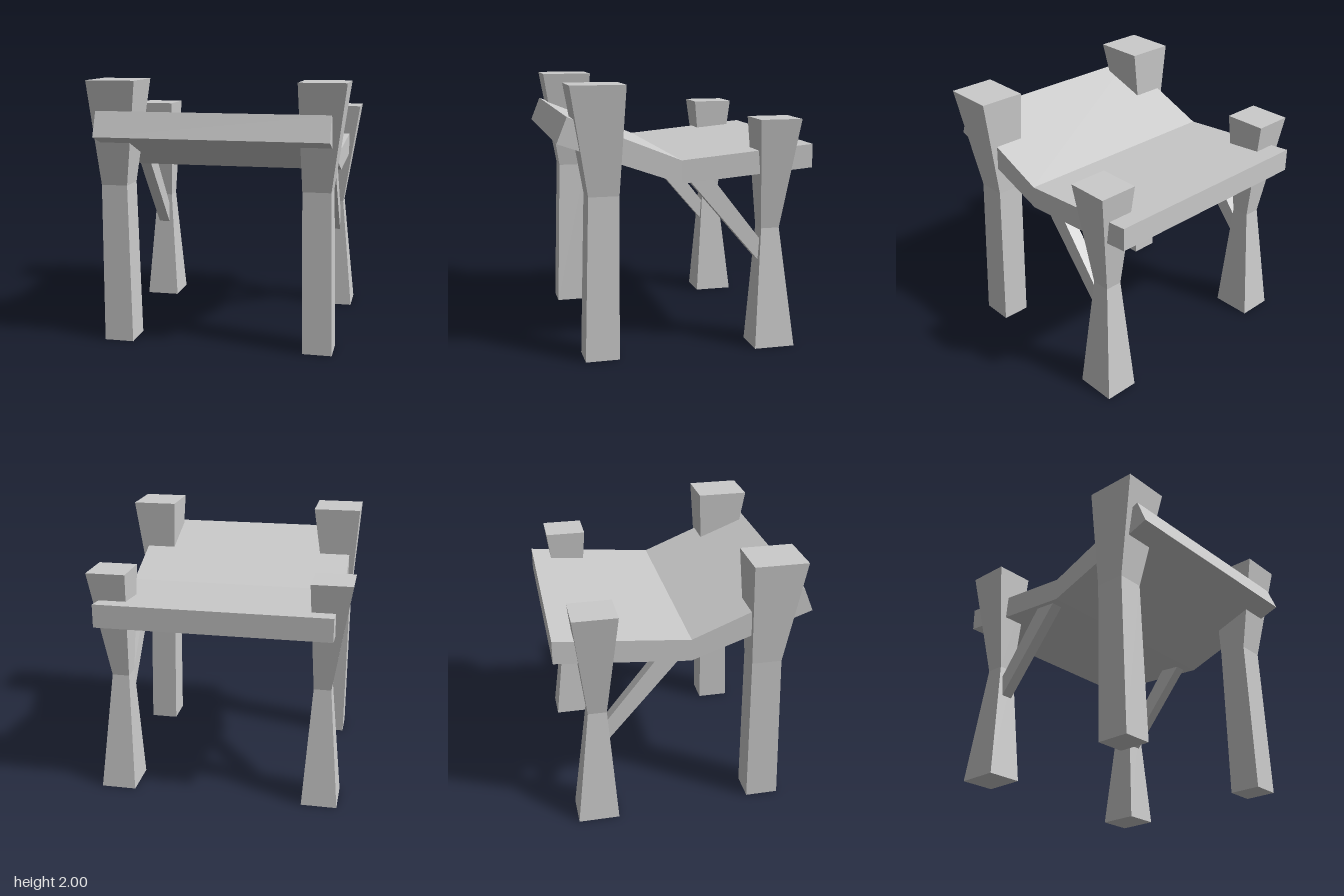
import * as THREE from 'three';

const material = new THREE.MeshStandardMaterial({ color: 0xcccccc, flatShading: true, side: THREE.DoubleSide });

// Loft through rectangles [y, x0, x1, z0, z1], listed from bottom to top
function loft(name, sections) {
  const pos = [], index = [];
  for (const [y, x0, x1, z0, z1] of sections) {
    pos.push(x0, y, z1, x1, y, z1, x1, y, z0, x0, y, z0);
  }
  for (let s = 0; s < sections.length - 1; s++) {
    for (let i = 0; i < 4; i++) {
      const a = s * 4 + i, b = s * 4 + (i + 1) % 4;
      index.push(a, b, b + 4, a, b + 4, a + 4);
    }
  }
  const t = (sections.length - 1) * 4;
  index.push(0, 2, 1, 0, 3, 2, t, t + 1, t + 2, t, t + 2, t + 3);
  const g = new THREE.BufferGeometry();
  g.setAttribute('position', new THREE.Float32BufferAttribute(pos, 3));
  g.setIndex(index);
  const flat = g.toNonIndexed();
  flat.computeVertexNormals();
  const mesh = new THREE.Mesh(flat, material);
  mesh.name = name;
  return mesh;
}

// Side profile of [z, y] points extruded across x
function extrudeAcross(name, profile, x0, x1) {
  const shape = new THREE.Shape(profile.map(([z, y]) => new THREE.Vector2(-z, y)));
  const g = new THREE.ExtrudeGeometry(shape, { depth: x1 - x0, bevelEnabled: false });
  g.rotateY(Math.PI / 2);
  g.translate(x0, 0, 0);
  const mesh = new THREE.Mesh(g, material);
  mesh.name = name;
  return mesh;
}

export function createModel() {
  const model = new THREE.Group();
  model.name = 'bentTopTable';

  // Front posts: straight shaft with a flared head
  model.add(loft('frontRightPost', [
    [0, -0.865, -0.64, 0.52, 0.77],
    [1.21, -0.875, -0.675, 0.505, 0.73],
    [2, -0.93, -0.56, 0.47, 0.865],
  ]));
  model.add(loft('frontLeftPost', [
    [0, 0.67, 0.89, 0.52, 0.77],
    [1.21, 0.65, 0.86, 0.505, 0.73],
    [2, 0.625, 0.97, 0.47, 0.865],
  ]));

  // Back posts: pinched at the waist
  model.add(loft('backRightPost', [
    [0, -0.92, -0.65, -0.825, -0.515],
    [0.91, -0.84, -0.71, -0.715, -0.575],
    [1.735, -0.975, -0.675, -0.815, -0.49],
  ]));
  model.add(loft('backLeftPost', [
    [0, 0.655, 0.92, -0.825, -0.515],
    [0.91, 0.7, 0.83, -0.715, -0.575],
    [1.735, 0.665, 0.96, -0.825, -0.51],
  ]));

  // Bent slab, slightly wider towards the back
  const slab = extrudeAcross('bentSlab', [
    [0.945, 1.595], [0.05, 1.28], [-0.945, 1.365],
    [-0.945, 1.54], [0.05, 1.45], [0.87, 1.78],
  ], -0.857, 0.865);
  const p = slab.geometry.attributes.position;
  for (let i = 0; i < p.count; i++) {
    if (p.getX(i) > 0 && p.getZ(i) < -0.9) p.setX(i, 0.88);
  }
  slab.geometry.computeVertexNormals();
  model.add(slab);

  // Diagonal braces from the back posts up to the slab
  const brace = [[-0.56, 0.665], [0.04, 1.365], [-0.14, 1.375], [-0.62, 0.765]];
  model.add(extrudeAcross('rightBrace', brace, -0.82, -0.73));
  model.add(extrudeAcross('leftBrace', brace, 0.72, 0.81));

  return model;
}
